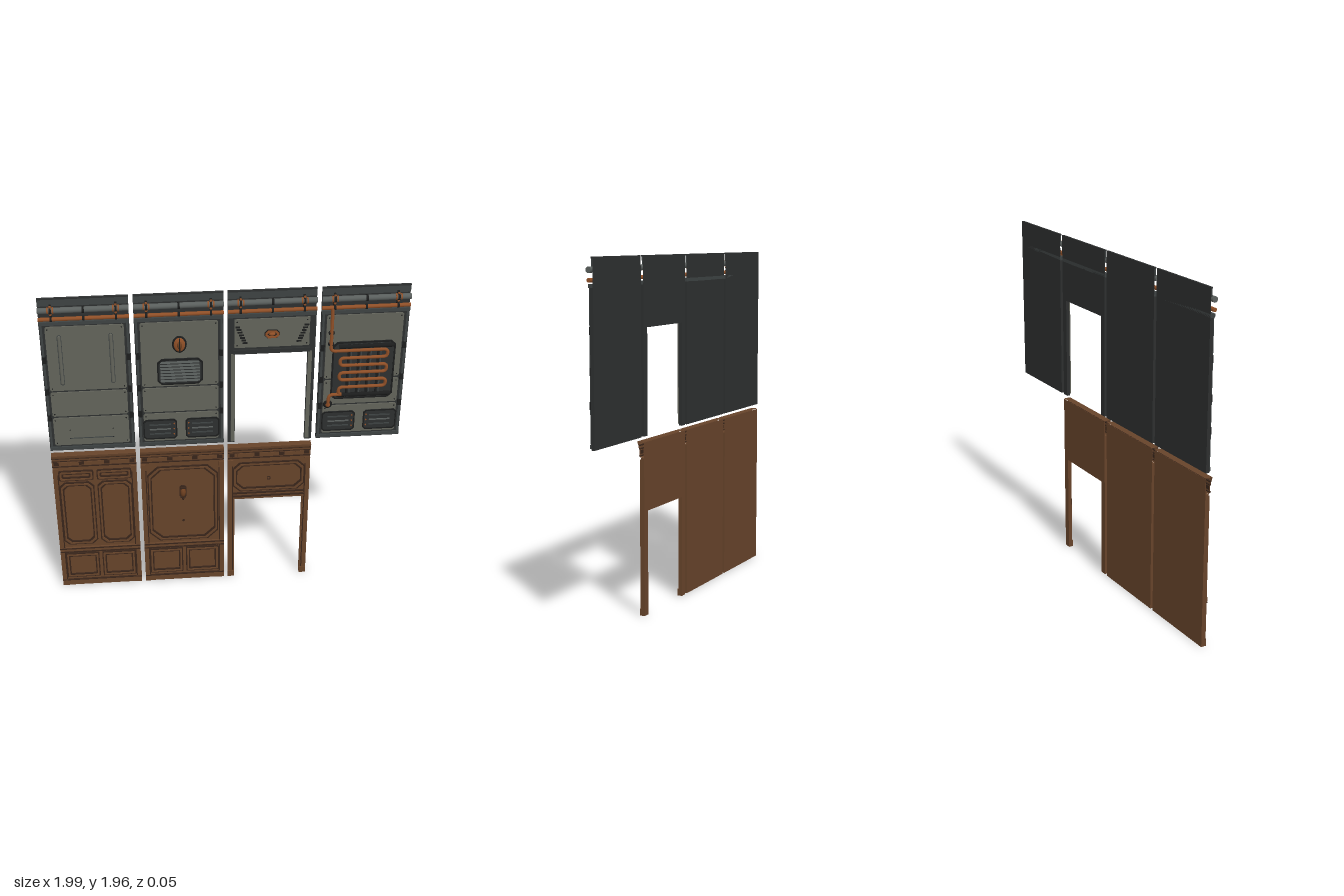
import * as THREE from 'three';

const material = (name, color) => {
  const m = new THREE.MeshStandardMaterial({ color });
  m.name = name;
  return m;
};

export function createModel() {
  const sheet = material('grey sheet metal', 0x62635a);
  const iron = material('dark iron', 0x2d2f2f);
  const slate = material('slate trim', 0x3d4242);
  const black = material('black fittings', 0x1b1c1c);
  const steel = material('steel pipe', 0x5a5f5d);
  const copper = material('copper', 0x8f4f27);
  const wood = material('wood', 0x66432a);
  const darkWood = material('dark wood', 0x38251a);
  const brass = material('aged bronze', 0x6e4020);
  const openWood = material('cornice wood', 0x66432a);
  openWood.side = THREE.DoubleSide;

  const root = new THREE.Group();
  let target = root;
  const BACK = -0.025, FRONT = 0.002, W = 0.48;

  const add = (name, geo, mat) => {
    const mesh = new THREE.Mesh(geo, mat);
    mesh.name = name;
    target.add(mesh);
    return mesh;
  };
  // Box from its limits
  const box = (name, mat, x0, x1, y0, y1, z0, z1) => {
    const m = add(name, new THREE.BoxGeometry(x1 - x0, y1 - y0, z1 - z0), mat);
    m.position.set((x0 + x1) / 2, (y0 + y1) / 2, (z0 + z1) / 2);
    return m;
  };
  // Rectangle with cut corners
  const outline = (x0, x1, y0, y1, c) => new THREE.Shape([
    [x0 + c, y0], [x1 - c, y0], [x1, y0 + c], [x1, y1 - c],
    [x1 - c, y1], [x0 + c, y1], [x0, y1 - c], [x0, y0 + c],
  ].map(p => new THREE.Vector2(...p)));
  const plate = (name, mat, x0, x1, y0, y1, c, z0, z1) => {
    const geo = new THREE.ExtrudeGeometry(outline(x0, x1, y0, y1, c), { depth: z1 - z0, bevelEnabled: false });
    return add(name, geo.translate(0, 0, z0), mat);
  };
  const ring = (name, mat, x0, x1, y0, y1, c, t, z0, z1) => {
    const s = outline(x0, x1, y0, y1, c);
    s.holes.push(outline(x0 + t, x1 - t, y0 + t, y1 - t, Math.max(c - t * 0.4, 0.001)));
    const geo = new THREE.ExtrudeGeometry(s, { depth: z1 - z0, bevelEnabled: false });
    return add(name, geo.translate(0, 0, z0), mat);
  };
  const rod = (name, mat, x0, x1, y, z, r, sides = 14) => {
    const m = add(name, new THREE.CylinderGeometry(r, r, x1 - x0, sides), mat);
    m.rotation.z = Math.PI / 2;
    m.position.set((x0 + x1) / 2, y, z);
  };
  const rivet = (x, y, mat = black, r = 0.004, z = FRONT) => {
    const m = add('rivet', new THREE.CylinderGeometry(r * 0.7, r, 0.005, 8), mat);
    m.rotation.x = Math.PI / 2;
    m.position.set(x, y, z + 0.002);
  };
  const dome = (name, mat, x, y, rx, ry, rz, z = FRONT) => {
    const m = add(name, new THREE.SphereGeometry(1, 20, 12), mat);
    m.scale.set(rx, ry, rz);
    m.position.set(x, y, z);
  };
  const group = (name, x, y) => {
    target = new THREE.Group();
    target.name = name;
    target.position.set(x, y, 0);
    root.add(target);
  };

  // Backing slab, or jambs and header for a doorway
  const body = (mat, top, door) => {
    box('rearSheet', mat, -W / 2, W / 2, top, 0.966, BACK, BACK + 0.002);
    if (!door) return box('backing', mat, -W / 2, W / 2, 0, top, BACK, -0.005);
    box('header', mat, -W / 2, W / 2, 0.585, top, BACK, -0.005);
    for (const s of [-1, 1]) box('jamb', mat, s * 0.22 - 0.02, s * 0.22 + 0.02, 0, 0.585, BACK, -0.005);
  };

  // Twin pipes with clamps along the top of a metal panel
  const pipes = () => {
    box('topBand', slate, -W / 2, W / 2, 0.918, 0.958, BACK + 0.002, -0.016);
    box('topLip', iron, -W / 2, W / 2, 0.958, 0.966, BACK, -0.013);
    box('lowerRail', slate, -W / 2, W / 2, 0.812, 0.832, BACK, 0.004);
    rod('steelPipe', steel, -W / 2, W / 2, 0.902, 0.002, 0.016);
    rod('copperPipe', copper, -W / 2, W / 2, 0.85, 0.002, 0.011);
    for (const x of [-0.172, 0, 0.172]) {
      rod('steelPipeCollar', black, x - 0.006, x + 0.006, 0.902, 0.002, 0.019);
      rod('copperPipeCollar', black, x - 0.006, x + 0.006, 0.85, 0.002, 0.014);
      if (!x) continue;
      box('clampStrap', black, x - 0.006, x + 0.006, 0.83, 0.93, BACK + 0.002, -0.008);
      for (const y of [0.923, 0.878]) rivet(x, y, copper, 0.008, 0.004);
      for (const s of [-1, 1]) rod('copperUnion', copper, x + s * 0.014 - 0.004, x + s * 0.014 + 0.004, 0.902, 0.002, 0.018);
    }
  };

  const metalPanel = (name, x, door = false) => {
    group(name, x, 0.998);
    body(iron, 0.812, door);
    pipes();
    if (door) {
      box('headerSheet', sheet, -0.205, 0.205, 0.625, 0.8, -0.005, FRONT);
      box('lintel', iron, -0.21, 0.21, 0.585, 0.61, -0.005, 0.004);
      for (const s of [-1, 1]) {
        box('jambSheet', sheet, s * 0.212 - 0.011, s * 0.212 + 0.011, 0.01, 0.585, -0.005, FRONT);
        for (const y of [0.64, 0.785]) rivet(s * 0.19, y);
      }
      return;
    }
    for (const [y0, y1] of [[0.04, 0.222], [0.234, 0.39], [0.402, 0.802]]) {
      plate('frontSheet', sheet, -0.21, 0.21, y0, y1, 0.008, -0.005, FRONT);
      for (const s of [-1, 1]) for (const y of [y0 + 0.015, y1 - 0.015]) rivet(s * 0.197, y);
    }
    for (const s of [-1, 1]) {
      box('sideFrame', slate, s * 0.229 - 0.006, s * 0.229 + 0.006, 0.03, 0.812, -0.005, FRONT);
      for (const y of [0.225, 0.396, 0.6]) box('sideLatch', black, s * 0.226 - 0.01, s * 0.226 + 0.01, y - 0.02, y + 0.02, -0.005, 0.004);
    }
    box('kickStrip', slate, -W / 2, W / 2, 0.008, 0.028, -0.005, 0.003);
  };

  // Pair of slotted hatches near the floor
  const hatches = () => {
    for (const s of [-1, 1]) {
      const c = s * 0.119;
      plate('hatch', iron, c - 0.095, c + 0.095, 0.055, 0.185, 0.015, FRONT, 0.006);
      ring('hatchRim', black, c - 0.095, c + 0.095, 0.055, 0.185, 0.015, 0.007, 0.006, 0.009);
      for (const y of [0.09, 0.12, 0.15]) box('hatchSlot', y === 0.12 ? steel : slate, c - 0.06, c + 0.06, y - 0.004, y + 0.004, 0.006, 0.009);
      for (const y of [0.085, 0.12, 0.155]) rivet(c - s * 0.078, y, copper, 0.005, 0.006);
    }
  };

  // Plain metal wall
  metalPanel('plainMetalPanel', -0.757);
  for (const s of [-1, 1]) {
    const rib = add('verticalRib', new THREE.CapsuleGeometry(0.009, 0.29, 6, 12), sheet);
    rib.position.set(s * 0.138, 0.595, FRONT);
    rib.scale.z = 0.6;
    ring('ribSeam', slate, s * 0.138 - 0.012, s * 0.138 + 0.012, 0.438, 0.752, 0.008, 0.003, FRONT, 0.004);
    for (const y of [0.085, 0.14]) rivet(s * 0.12, y, black, 0.003);
  }
  box('serviceSeam', slate, -0.125, 0.125, 0.082, 0.087, FRONT, 0.004);

  // Metal wall with lamp and vent
  metalPanel('ventMetalPanel', -0.253);
  hatches();
  dome('lampBase', black, 0, 0.665, 0.04, 0.052, 0.01);
  dome('lampRim', copper, 0, 0.665, 0.034, 0.046, 0.016);
  dome('lampLens', brass, 0, 0.665, 0.018, 0.03, 0.023);
  box('lampBar', black, -0.003, 0.003, 0.625, 0.705, FRONT, 0.025);
  plate('ventBack', iron, -0.125, 0.125, 0.415, 0.578, 0.025, FRONT, 0.006);
  ring('ventRim', black, -0.125, 0.125, 0.415, 0.578, 0.025, 0.008, 0.006, 0.012);
  for (let i = 0; i < 7; i++) {
    box('ventSlat', steel, -0.108, 0.108, 0.432 + i * 0.0195, 0.444 + i * 0.0195, 0.004, 0.009).rotation.x = -0.2;
  }

  // Metal doorway
  metalPanel('metalDoorway', 0.25, true);
  plate('signBase', black, -0.042, 0.042, 0.68, 0.732, 0.018, FRONT, 0.006);
  ring('signRim', copper, -0.038, 0.038, 0.684, 0.728, 0.016, 0.01, 0.006, 0.013);
  dome('signLamp', copper, 0, 0.706, 0.018, 0.011, 0.01, 0.006);
  for (const s of [-1, 1]) for (let i = 0; i < 7; i++) {
    const x = s * (0.148 + i * 0.0065), y = 0.655 + i * 0.0165;
    box('headerSlot', black, x - 0.013, x + 0.013, y - 0.005, y + 0.005, FRONT, 0.005);
  }

  // Metal wall with heating coil
  metalPanel('coilMetalPanel', 0.757);
  hatches();
  plate('coilBackplate', iron, -0.172, 0.178, 0.27, 0.637, 0.025, FRONT, 0.006);
  ring('coilRim', black, -0.172, 0.178, 0.27, 0.637, 0.025, 0.009, 0.006, 0.01);
  for (const y of [0.298, 0.61]) rod('coilRail', black, -0.135, 0.165, y, 0.011, 0.012);
  for (let i = 0; i < 4; i++) {
    const x = -0.082 + i * 0.055;
    box('coilBar', black, x - 0.006, x + 0.006, 0.285, 0.622, 0.006, 0.014);
    box('coilFin', slate, x + 0.012, x + 0.018, 0.285, 0.622, 0.006, 0.011);
  }
  // Serpentine tube: straight rows joined by half turns
  const path = new THREE.CurvePath();
  const v = (x, y, z = 0.016) => new THREE.Vector3(x, y, z);
  const line = (a, b) => path.add(new THREE.LineCurve3(a, b));
  const bend = (a, k, b) => path.add(new THREE.QuadraticBezierCurve3(a, k, b));
  const rows = 7, step = 0.047, r = step / 2;
  line(v(-0.183, 0.85, 0.01), v(-0.183, 0.615));
  bend(v(-0.183, 0.615), v(-0.183, 0.587), v(-0.155, 0.587));
  line(v(-0.155, 0.587), v(0.11, 0.587));
  for (let i = 0; i < rows - 1; i++) {
    const y = 0.587 - i * step, s = i % 2 ? -1 : 1, e = s > 0 ? 0.11 : -0.105;
    bend(v(e, y), v(e + s * r, y), v(e + s * r, y - r));
    bend(v(e + s * r, y - r), v(e + s * r, y - step), v(e, y - step));
    const last = i === rows - 2;
    line(v(e, y - step), v(last ? -0.155 : s > 0 ? -0.105 : 0.11, y - step));
  }
  const yEnd = 0.587 - (rows - 1) * step;
  bend(v(-0.155, yEnd), v(-0.183, yEnd), v(-0.183, yEnd - 0.028));
  line(v(-0.183, yEnd - 0.028), v(-0.183, 0.235));
  add('coilTube', new THREE.TubeGeometry(path, 420, 0.0095, 8), copper);
  for (const y of [0.7, 0.63]) box('pipeBracket', black, -0.198, -0.168, y - 0.006, y + 0.006, -0.005, 0.02);
  dome('pipeFlange', black, -0.183, 0.235, 0.026, 0.026, 0.012);
  dome('pipeElbow', copper, -0.183, 0.235, 0.016, 0.016, 0.022);

  // Raised moulding around a wood field
  const moulding = (x0, x1, y0, y1, c) => {
    ring('mouldingOuter', darkWood, x0, x1, y0, y1, c, 0.007, -0.005, 0.004);
    ring('mouldingMiddle', wood, x0 + 0.007, x1 - 0.007, y0 + 0.007, y1 - 0.007, c, 0.01, -0.005, 0.007);
    ring('mouldingInner', darkWood, x0 + 0.017, x1 - 0.017, y0 + 0.017, y1 - 0.017, c, 0.008, -0.005, 0.004);
  };

  const woodPanel = (name, x, door = false) => {
    group(name, x, 0);
    body(wood, 0.88, door);
    // Cornice swept along x from an open profile
    const prof = [[0.88, -0.004], [0.893, 0.003], [0.925, 0.003], [0.932, 0.008], [0.945, 0.009], [0.957, 0.014], [0.97, 0.016], [0.97, BACK]];
    const pos = [], idx = [];
    prof.forEach(([y, z], i) => {
      pos.push(-W / 2, y, z, W / 2, y, z);
      if (i) idx.push(2 * i - 2, 2 * i - 1, 2 * i + 1, 2 * i - 2, 2 * i + 1, 2 * i);
    });
    const geo = new THREE.BufferGeometry();
    geo.setAttribute('position', new THREE.Float32BufferAttribute(pos, 3));
    geo.setIndex(idx);
    const flat = geo.toNonIndexed();
    flat.computeVertexNormals();
    add('cornice', flat, openWood);
    for (const y of [0.89, 0.929, 0.948]) box('corniceLine', darkWood, -W / 2, W / 2, y - 0.003, y + 0.003, 0, y > 0.94 ? 0.011 : 0.008);
    for (let i = 0; i < 10; i++) {
      const dx = -0.216 + i * 0.048;
      box('dentil', i % 3 ? wood : darkWood, dx - 0.015, dx + 0.015, 0.9, 0.921, 0.002, 0.008);
    }
    // Side stiles, plinth and rails
    for (const s of [-1, 1]) {
      box('stile', wood, s * 0.224 - 0.016, s * 0.224 + 0.016, 0.04, 0.87, -0.005, FRONT);
      box('stileGroove', darkWood, s * 0.212 - 0.003, s * 0.212 + 0.003, 0.045, 0.83, -0.005, 0.003);
      box('plinthBlock', wood, s * 0.22 - 0.02, s * 0.22 + 0.02, 0, 0.038, -0.005, 0.005);
    }
    if (door) {
      for (const y of [0.608, 0.632]) box('lintelLine', darkWood, -0.21, 0.21, y - 0.004, y + 0.004, -0.005, 0.004);
      return;
    }
    box('plinth', wood, -0.2, 0.2, 0, 0.035, -0.005, 0.003);
    box('plinthLine', darkWood, -W / 2, W / 2, 0.036, 0.042, -0.005, 0.005);
    box('chairRail', wood, -W / 2, W / 2, 0.262, 0.29, -0.005, 0.006);
    for (const y of [0.26, 0.284]) box('chairRailLine', darkWood, -W / 2, W / 2, y - 0.004, y + 0.004, -0.005, 0.008);
    for (const s of [-1, 1]) moulding(s * 0.109 - 0.1, s * 0.109 + 0.1, 0.06, 0.245, 0.004);
  };

  // Wood wall with paired fields
  woodPanel('pairedWoodPanel', -0.757);
  for (const s of [-1, 1]) {
    moulding(s * 0.109 - 0.1, s * 0.109 + 0.1, 0.785, 0.855, 0.008);
    moulding(s * 0.109 - 0.1, s * 0.109 + 0.1, 0.315, 0.772, 0.03);
  }

  // Wood wall with sconce
  woodPanel('sconceWoodPanel', -0.253);
  moulding(-0.205, 0.205, 0.31, 0.852, 0.06);
  plate('sconcePlate', darkWood, -0.02, 0.02, 0.625, 0.71, 0.012, -0.005, 0.006);
  dome('sconceShade', brass, 0, 0.667, 0.017, 0.034, 0.022, 0.002);
  for (const y of [0.637, 0.7]) box('sconceBand', darkWood, -0.016, 0.016, y - 0.004, y + 0.004, 0.002, 0.018);
  dome('sconceFinial', darkWood, 0, 0.622, 0.007, 0.012, 0.01, 0.006);
  box('inlay', darkWood, -0.007, 0.007, 0.442, 0.456, -0.005, -0.003).rotation.z = Math.PI / 4;

  // Wood doorway
  woodPanel('woodDoorway', 0.25, true);
  moulding(-0.21, 0.21, 0.648, 0.852, 0.04);
  ring('headerInlay', darkWood, -0.01, 0.01, 0.722, 0.742, 0.003, 0.004, -0.005, -0.001);

  return root;
}
